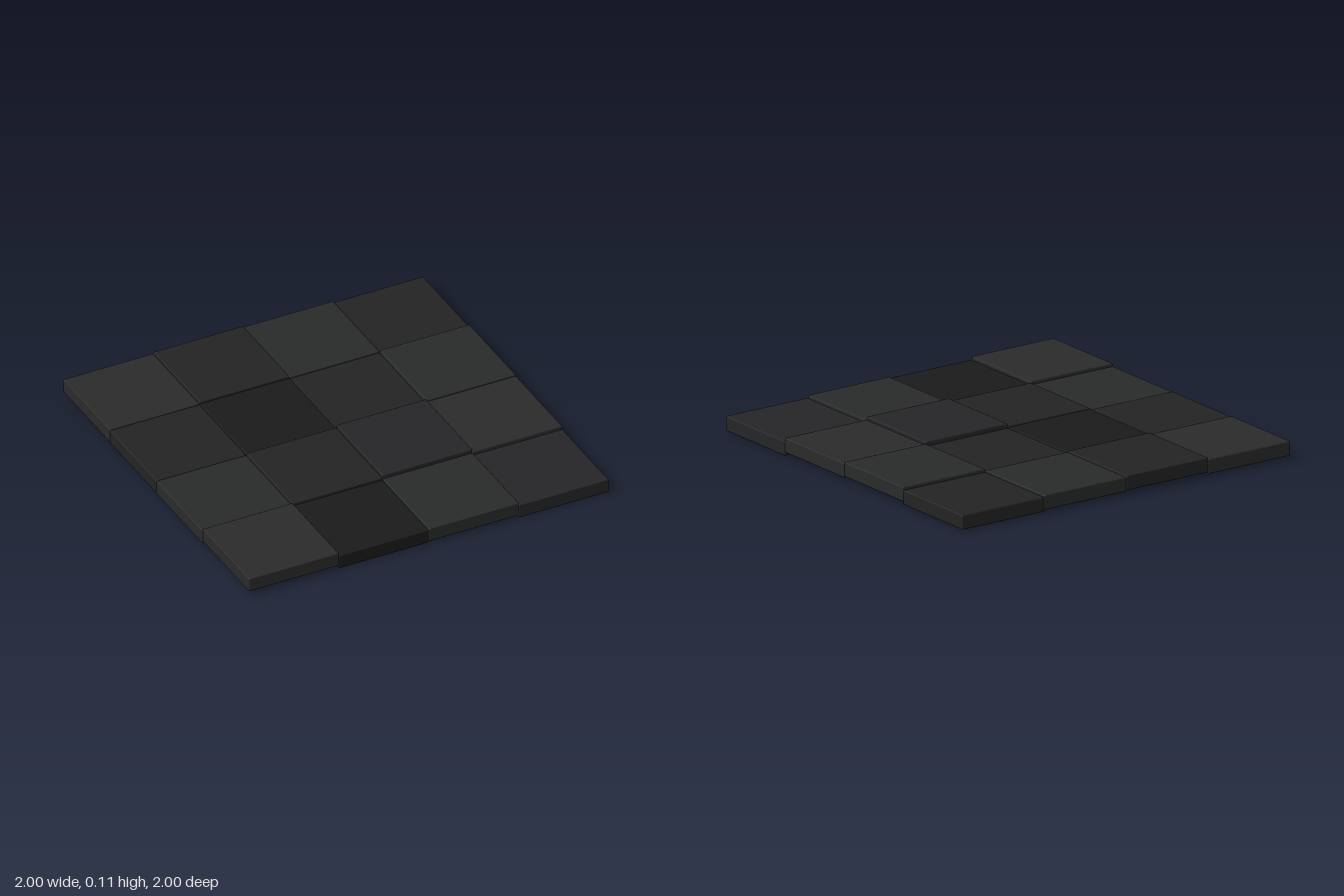
import * as THREE from 'three';
import { RoundedBoxGeometry } from 'three/addons/geometries/RoundedBoxGeometry.js';

const TILE = 0.5, THICK = 0.076;

// Underside height of each tile: rows run back to front, columns -x to +x
const HEIGHTS = [
  [0.020, 0.029, 0.023, 0.014],
  [0.016, 0.020, 0.016, 0.029],
  [0.014, 0.024, 0.038, 0.022],
  [0.029, 0.012, 0.018, 0.004],
];

// Stone shades and which tile uses which
const SHADES = [0x2a2a2a, 0x232323, 0x282b2a, 0x1a1a1a, 0x252427];
const PATTERN = [
  [0, 1, 2, 1],
  [1, 3, 1, 2],
  [2, 1, 4, 0],
  [0, 3, 2, 4],
];

export function createModel() {
  const floor = new THREE.Group();
  floor.name = 'tiledFloor';

  // One slab with slightly eased edges, shared by all tiles
  const slab = new RoundedBoxGeometry(TILE, THICK, TILE, 2, 0.006);
  const materials = SHADES.map((color) => new THREE.MeshStandardMaterial({ color }));

  // Uneven four by four paving
  HEIGHTS.forEach((row, r) => row.forEach((y, c) => {
    const tile = new THREE.Mesh(slab, materials[PATTERN[r][c]]);
    tile.name = `tileRow${r + 1}Column${c + 1}`;
    tile.position.set((c - 1.5) * TILE, y - 0.004 + THICK / 2, (r - 1.5) * TILE);
    floor.add(tile);
  }));

  return floor;
}
